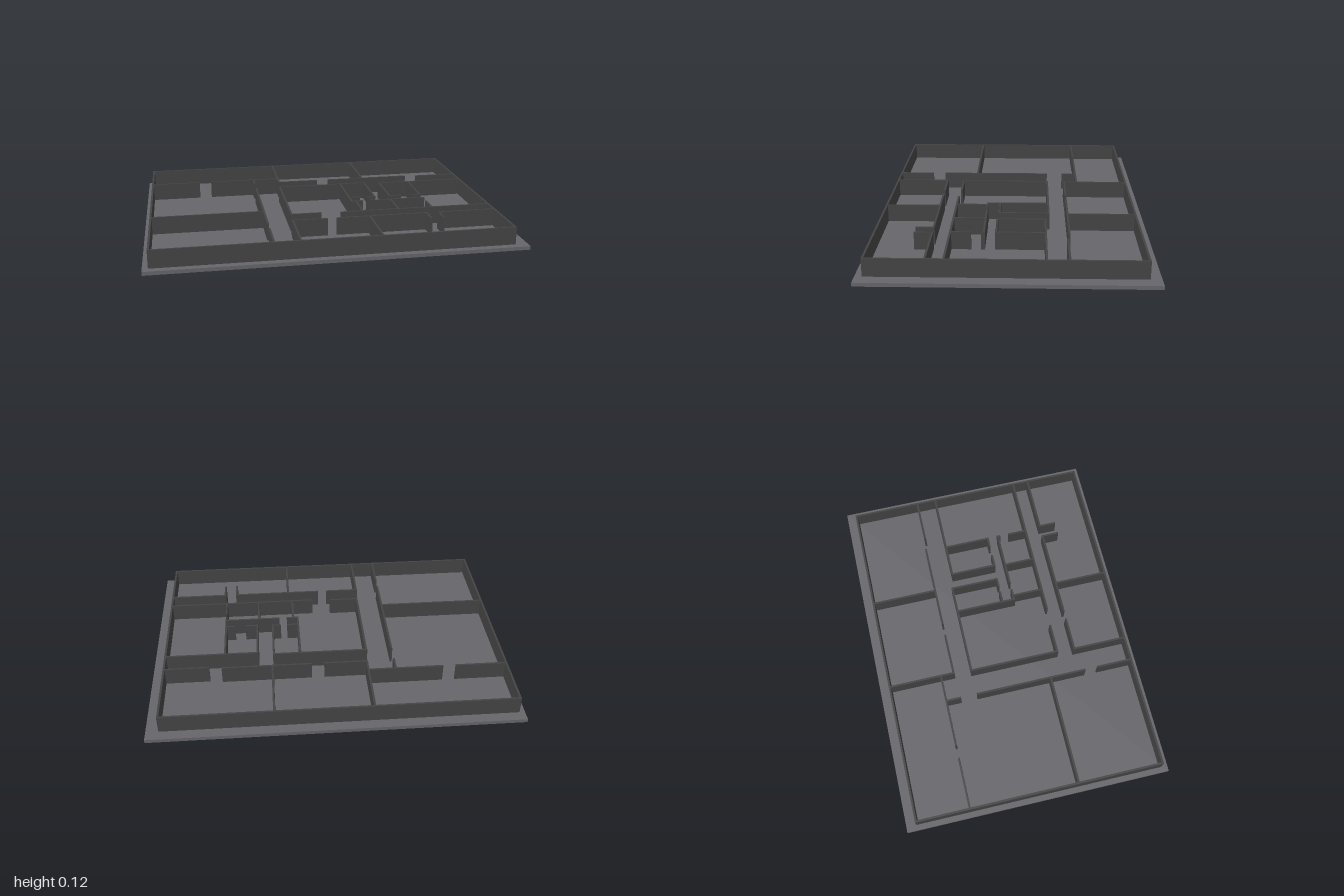
import * as THREE from 'three';

const FLOOR_H = 0.02, WALL_TOP = 0.117, T = 0.011;

export function createModel() {
  const model = new THREE.Group();
  model.name = 'floorPlan';
  const floorMat = new THREE.MeshStandardMaterial({ color: 0x66656b, flatShading: true });
  const wallMat = new THREE.MeshStandardMaterial({ color: 0x444444, flatShading: true });

  // Base slab
  const floor = new THREE.Mesh(new THREE.BoxGeometry(2, FLOOR_H, 1.49), floorMat);
  floor.name = 'floorSlab';
  floor.position.y = FLOOR_H / 2;
  model.add(floor);

  // Straight wall standing on the slab, spanning a rectangle in x and z
  const addWall = (group, name, x0, x1, z0, z1) => {
    const h = WALL_TOP - FLOOR_H;
    const wall = new THREE.Mesh(new THREE.BoxGeometry(x1 - x0, h, z1 - z0), wallMat);
    wall.name = name;
    wall.position.set((x0 + x1) / 2, FLOOR_H + h / 2, (z0 + z1) / 2);
    group.add(wall);
  };
  const alongX = (group, name, z, a, b) => addWall(group, name, a, b, z - T / 2, z + T / 2);
  const alongZ = (group, name, x, a, b) => addWall(group, name, x - T / 2, x + T / 2, a, b);

  // Outer walls
  const outer = new THREE.Group();
  outer.name = 'outerWalls';
  alongX(outer, 'backWall', -0.682, -0.97, 0.932);
  alongX(outer, 'frontWall', 0.702, -0.97, 0.932);
  alongZ(outer, 'rightWall', -0.964, -0.687, 0.707);
  alongZ(outer, 'leftWall', 0.927, -0.687, 0.707);
  model.add(outer);

  // Partitions running side to side: z, then start/end x pairs with door gaps between
  const crossRows = [
    [-0.385, [-0.963, -0.68], [-0.61, -0.19]],
    [-0.31, [-0.195, 0.043], [0.112, 0.61]],
    [-0.3, [0.678, 0.927]],
    [-0.207, [-0.209, 0.325]],
    [-0.188, [0.405, 0.927]],
    [0.064, [0.17, 0.235], [0.272, 0.325]],
    [0.071, [0.405, 0.48], [0.54, 0.6]],
    [0.134, [0.165, 0.235], [0.278, 0.6]],
    [0.225, [-0.963, -0.347]],
    [0.301, [-0.209, -0.037]],
    [0.309, [0.07, 0.927]],
    [0.401, [-0.216, -0.02], [0.03, 0.54], [0.6, 0.927]],
  ];
  // Partitions running front to back: x, then start/end z pairs
  const depthRows = [
    [-0.347, [-0.385, -0.3], [-0.208, 0.43], [0.502, 0.702]],
    [-0.21, [0.401, 0.702]],
    [-0.203, [-0.207, 0.306]],
    [-0.195, [-0.682, -0.305]],
    [0.17, [-0.207, 0.139]],
    [0.195, [0.134, 0.306]],
    [0.215, [0.401, 0.702]],
    [0.32, [-0.207, 0.069]],
    [0.33, [-0.682, -0.31]],
    [0.4, [0.134, 0.309]],
    [0.411, [-0.188, 0.076]],
    [0.535, [0.401, 0.497]],
    [0.594, [-0.188, 0.076], [0.134, 0.149], [0.2, 0.309]],
    [0.605, [0.401, 0.497]],
  ];
  const inner = new THREE.Group();
  inner.name = 'partitionWalls';
  for (const [z, ...spans] of crossRows)
    for (const [a, b] of spans) alongX(inner, 'crossPartition', z, a, b);
  for (const [x, ...spans] of depthRows)
    for (const [a, b] of spans) alongZ(inner, 'depthPartition', x, a, b);
  model.add(inner);

  return model;
}
